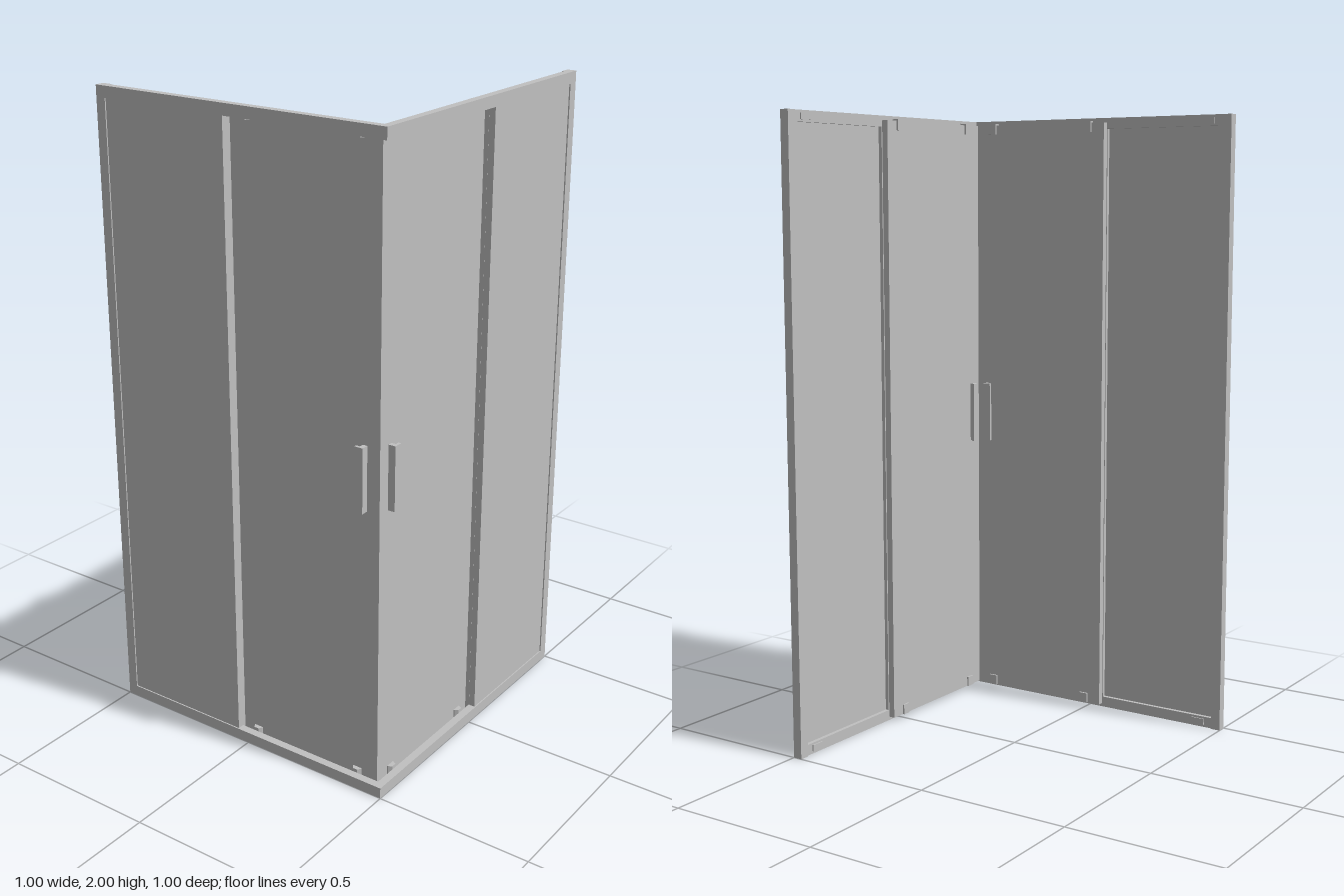
import * as THREE from 'three';

export function createModel() {
  const model = new THREE.Group();
  model.name = 'cornerShowerEnclosure';
  const grey = new THREE.MeshStandardMaterial({ color: 0xc0c0c0 });
  grey.name = 'grey';

  // Both wings share one plan; the side wing mirrors it across the corner diagonal.
  const wings = [
    { name: 'frontWing', place: ([x, z]) => [x, z] },
    { name: 'sideWing', place: ([x, z]) => [-z, -x] },
  ];

  for (const { name, place } of wings) {
    const wing = new THREE.Group();
    wing.name = name;
    model.add(wing);

    // Upright prism from a plan outline of [x, z] points
    const prism = (part, plan, y0, y1) => {
      const shape = new THREE.Shape(plan.map(place).map(([x, z]) => new THREE.Vector2(x, -z)));
      const geometry = new THREE.ExtrudeGeometry(shape, { depth: y1 - y0, bevelEnabled: false });
      geometry.rotateX(-Math.PI / 2).translate(0, y0, 0);
      const mesh = new THREE.Mesh(geometry, grey);
      mesh.name = part;
      wing.add(mesh);
    };
    const box = (part, x0, x1, y0, y1, z0, z1) =>
      prism(part, [[x0, z0], [x1, z0], [x1, z1], [x0, z1]], y0, y1);

    // Rails, mitred at the corner, and the wall profile
    const railPlan = [[-0.5, 0.5], [-0.475, 0.475], [0.468, 0.475], [0.468, 0.5]];
    prism('bottomRail', railPlan, 0, 0.035);
    prism('topRail', railPlan, 1.965, 2);
    box('wallProfile', 0.468, 0.5, 0, 2, 0.47, 0.5);

    // Fixed pane with its overlap seal
    box('fixedPane', 0.04, 0.468, 0.035, 1.965, 0.488, 0.496);
    box('fixedPaneSeal', 0.04, 0.05, 0.035, 1.965, 0.476, 0.488);

    // Sliding door, its trailing seal and the closing seal at the corner
    box('slidingDoor', -0.455, 0.045, 0.012, 1.985, 0.453, 0.46);
    box('doorSeal', 0.043, 0.049, 0.012, 1.985, 0.453, 0.474);
    prism('cornerSeal', [[-0.463, 0.463], [-0.453, 0.453], [-0.447, 0.453], [-0.447, 0.463]], 0.012, 1.985);

    // Rollers at top and bottom of the door
    for (const x of [-0.39, -0.013]) {
      const plan = [[-0.015, 0.447], [0.015, 0.447], [0.015, 0.463], [0.008, 0.474], [-0.008, 0.474], [-0.015, 0.463]]
        .map(([dx, z]) => [x + dx, z]);
      prism('bottomRoller', plan, 0.012, 0.045);
      prism('topRoller', plan, 1.955, 1.99);
    }

    // Hooked handles on both faces of the door
    const handlePlan = [[-0.418, 0.453], [-0.418, 0.43], [-0.39, 0.43], [-0.39, 0.439], [-0.403, 0.439], [-0.403, 0.453]];
    prism('innerHandle', handlePlan, 0.9, 1.1);
    prism('outerHandle', handlePlan.map(([x, z]) => [x, 0.913 + 0.006 - z]).map(([x, z]) => [x, Math.max(0.46, z - 0.006)]), 0.9, 1.1);

    // Door stops inside the rails
    for (const [x0, x1] of [[-0.445, -0.38], [0.395, 0.44]]) {
      box('bottomStop', x0, x1, 0.008, 0.028, 0.471, 0.475);
      box('topStop', x0, x1, 1.972, 1.992, 0.471, 0.475);
    }
  }
  return model;
}
